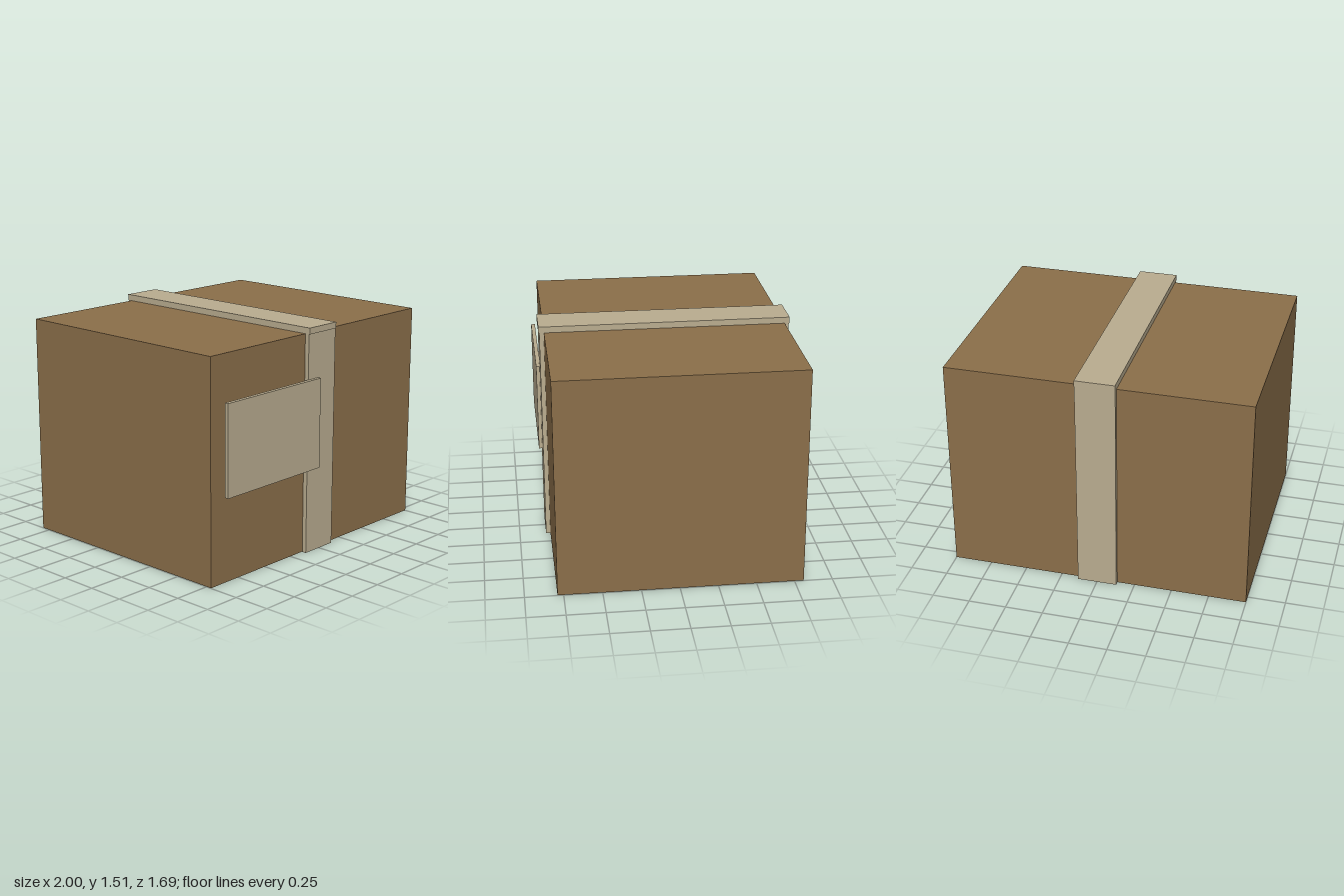
import * as THREE from 'three';

export function createModel() {
  const model = new THREE.Group();
  model.name = 'parcel';

  const cardboard = new THREE.MeshStandardMaterial({ name: 'brown cardboard', color: 0x8b6f4a });
  const paper = new THREE.MeshStandardMaterial({ name: 'beige tape', color: 0xbaad90 });

  // Box given by its lower and upper limits on each axis
  function block(name, material, [x0, x1], [y0, y1], [z0, z1]) {
    const mesh = new THREE.Mesh(new THREE.BoxGeometry(x1 - x0, y1 - y0, z1 - z0), material);
    mesh.position.set((x0 + x1) / 2, (y0 + y1) / 2, (z0 + z1) / 2);
    mesh.name = name;
    model.add(mesh);
  }

  // Carton
  block('carton', cardboard, [-1, 1], [0.002, 1.467], [-0.81, 0.79]);

  // Tape wrapped around the middle, the top strip overhanging slightly
  const tapeX = [-0.133, 0.13];
  block('tapeFront', paper, tapeX, [0, 1.467], [0.79, 0.82]);
  block('tapeBack', paper, tapeX, [0, 1.467], [-0.838, -0.81]);
  block('tapeBottom', paper, tapeX, [0, 0.002], [-0.81, 0.79]);
  block('tapeTop', paper, tapeX, [1.467, 1.508], [-0.843, 0.826]);

  // Address label standing proud of the front, overlapping the tape
  block('label', paper, [-0.902, -0.036], [0.57, 1.17], [0.816, 0.843]);

  return model;
}
